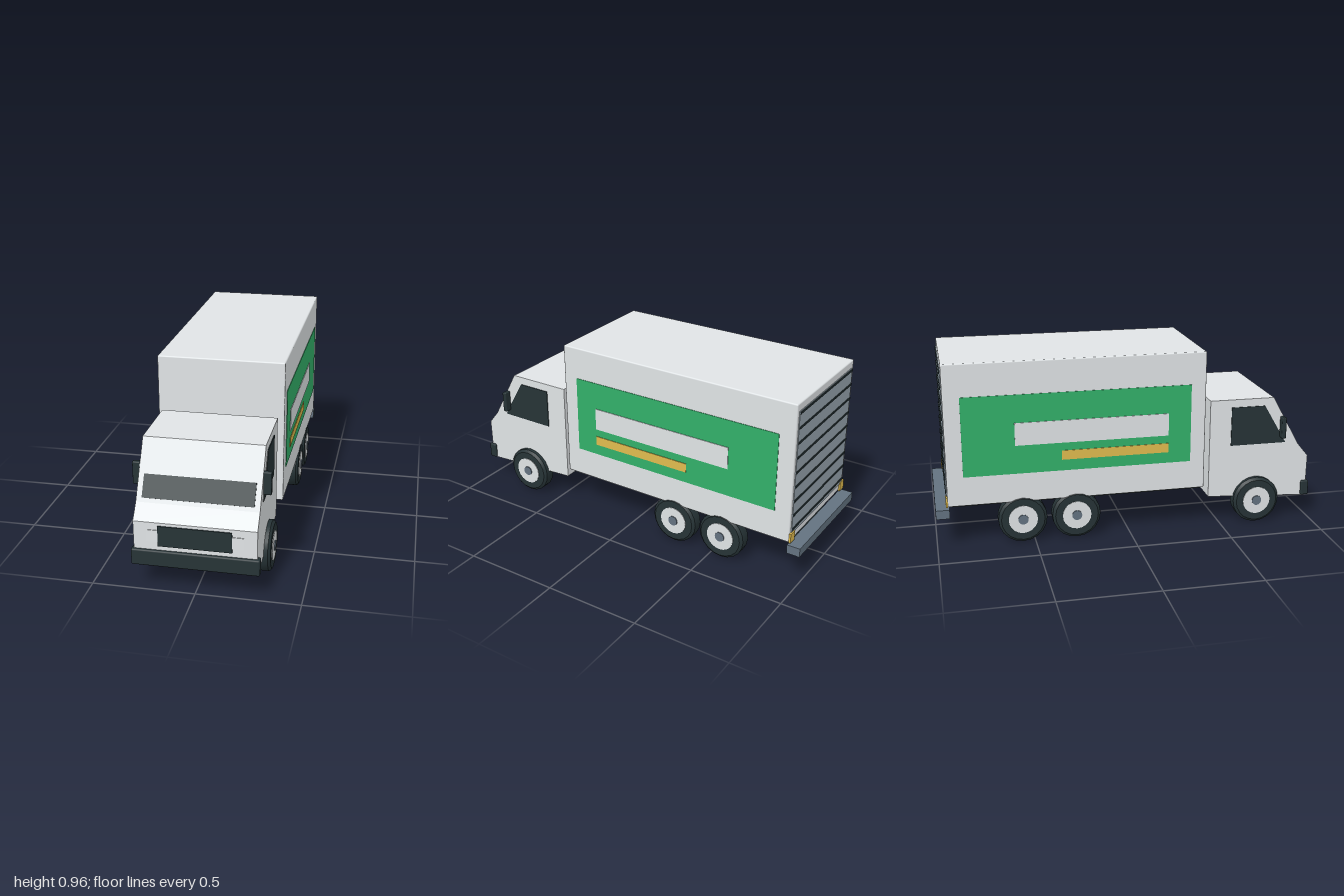
import * as THREE from 'three';
import { toCreasedNormals } from 'three/addons/utils/BufferGeometryUtils.js';
import { RoundedBoxGeometry } from 'three/addons/geometries/RoundedBoxGeometry.js';

const paint = (name, color) => {
  const m = new THREE.MeshStandardMaterial({ color });
  m.name = name;
  return m;
};

export function createModel() {
  const white = paint('body white', 0xe0e4e6);
  const dark = paint('dark trim', 0x263336);
  const green = paint('panel green', 0x32b069);
  const amber = paint('amber', 0xe0bb4e);
  const slate = paint('slate metal', 0x637280);
  const doorGrey = paint('door grey', 0x98a5ae);

  const truck = new THREE.Group();
  truck.name = 'boxTruck';

  const add = (name, geometry, material, parent = truck) => {
    const mesh = new THREE.Mesh(geometry, material);
    mesh.name = name;
    parent.add(mesh);
    return mesh;
  };
  // Box given by its [min, max] range on each axis; radius rounds its edges
  const box = (name, material, [x0, x1], [y0, y1], [z0, z1], radius = 0) => {
    const size = [x1 - x0, y1 - y0, z1 - z0];
    const geometry = radius
      ? new RoundedBoxGeometry(...size, 2, radius)
      : new THREE.BoxGeometry(...size);
    geometry.translate((x0 + x1) / 2, (y0 + y1) / 2, (z0 + z1) / 2);
    return add(name, geometry, material);
  };
  // Side outline of [z, y] points, extruded across x from x0 to x1
  const sidePlate = (name, material, points, x0, x1) => {
    const shape = new THREE.Shape(points.map(([z, y]) => new THREE.Vector2(z, y)));
    const geometry = new THREE.ExtrudeGeometry(shape, { depth: x1 - x0, bevelEnabled: false });
    geometry.rotateY(-Math.PI / 2).translate(x1, 0, 0);
    return add(name, geometry, material);
  };

  // Cab
  sidePlate('cab', white, [
    [0.433, 0.155], [0.985, 0.122], [0.988, 0.348], [0.93, 0.418], [0.78, 0.685], [0.433, 0.685],
  ], -0.292, 0.292);
  const windshield = add('windshield', new THREE.BoxGeometry(0.53, 0.112, 0.008), dark);
  windshield.position.set(0, 0.485, 0.893);
  windshield.rotation.x = -0.512;
  box('grille', dark, [-0.175, 0.175], [0.23, 0.333], [0.984, 0.993]);
  box('frontBumper', dark, [-0.305, 0.305], [0.125, 0.207], [0.957, 1], 0.008);

  // Chassis, cargo box and rear bumper
  box('chassis', dark, [-0.148, 0.148], [0.152, 0.223], [-0.91, 0.44]);
  box('cargoBox', white, [-0.32, 0.32], [0.222, 0.957], [-0.938, 0.398], 0.007);
  box('rearBumper', slate, [-0.32, 0.32], [0.16, 0.207], [-1, -0.93]);

  // Roller door with slat seams
  box('rollerDoor', doorGrey, [-0.3, 0.3], [0.262, 0.917], [-0.942, -0.935]);
  for (let i = 0; i < 9; i++) {
    const y = 0.908 - i * 0.0775;
    box('doorSeam', dark, [-0.298, 0.298], [y - 0.005, y + 0.005], [-0.946, -0.94]);
  }

  // Wheel: bevelled tyre, rim and hub, facing +x
  const tyreProfile = [[0, -0.038], [0.112, -0.038], [0.126, -0.026], [0.126, 0.026], [0.112, 0.038], [0, 0.038]]
    .map(([r, y]) => new THREE.Vector2(r, y));
  const tyre = toCreasedNormals(new THREE.LatheGeometry(tyreProfile, 20), 0.5).rotateZ(-Math.PI / 2);
  const disc = (radius, x0, x1) =>
    new THREE.CylinderGeometry(radius, radius, x1 - x0, 20).rotateZ(-Math.PI / 2).translate((x0 + x1) / 2, 0, 0);
  const rim = disc(0.075, 0.03, 0.041);
  const hub = disc(0.026, 0.035, 0.046);

  // Mirrored side parts
  for (const s of [1, -1]) {
    const span = (a, b) => (s > 0 ? [a, b] : [-b, -a]);
    sidePlate('sideWindow', dark, [[0.55, 0.434], [0.855, 0.434], [0.732, 0.643], [0.55, 0.643]],
      ...span(0.288, 0.296));
    box('mirror', dark, span(0.29, 0.33), [0.465, 0.58], [0.82, 0.845], 0.006);
    box('headlight', white, span(0.175, 0.23), [0.25, 0.31], [0.983, 0.991]);
    box('sidePanel', green, span(0.316, 0.3225), [0.376, 0.788], [-0.855, 0.319]);
    box('panelBand', white, span(0.319, 0.3255), [0.525, 0.643], [-0.592, 0.2]);
    box('panelStripe', amber, span(0.319, 0.3255), [0.434, 0.483], [-0.356, 0.2]);
    box('tailLight', amber, span(0.272, 0.318), [0.22, 0.27], [-0.947, -0.937]);

    for (const z of [0.695, -0.283, -0.562]) {
      const wheel = new THREE.Group();
      wheel.name = z > 0 ? 'frontWheel' : 'rearWheel';
      add('tyre', tyre, dark, wheel);
      add('rim', rim, white, wheel);
      add('hub', hub, slate, wheel);
      wheel.position.set(s * 0.285, 0.126, z);
      wheel.rotation.y = s > 0 ? 0 : Math.PI;
      truck.add(wheel);
    }
  }
  return truck;
}
